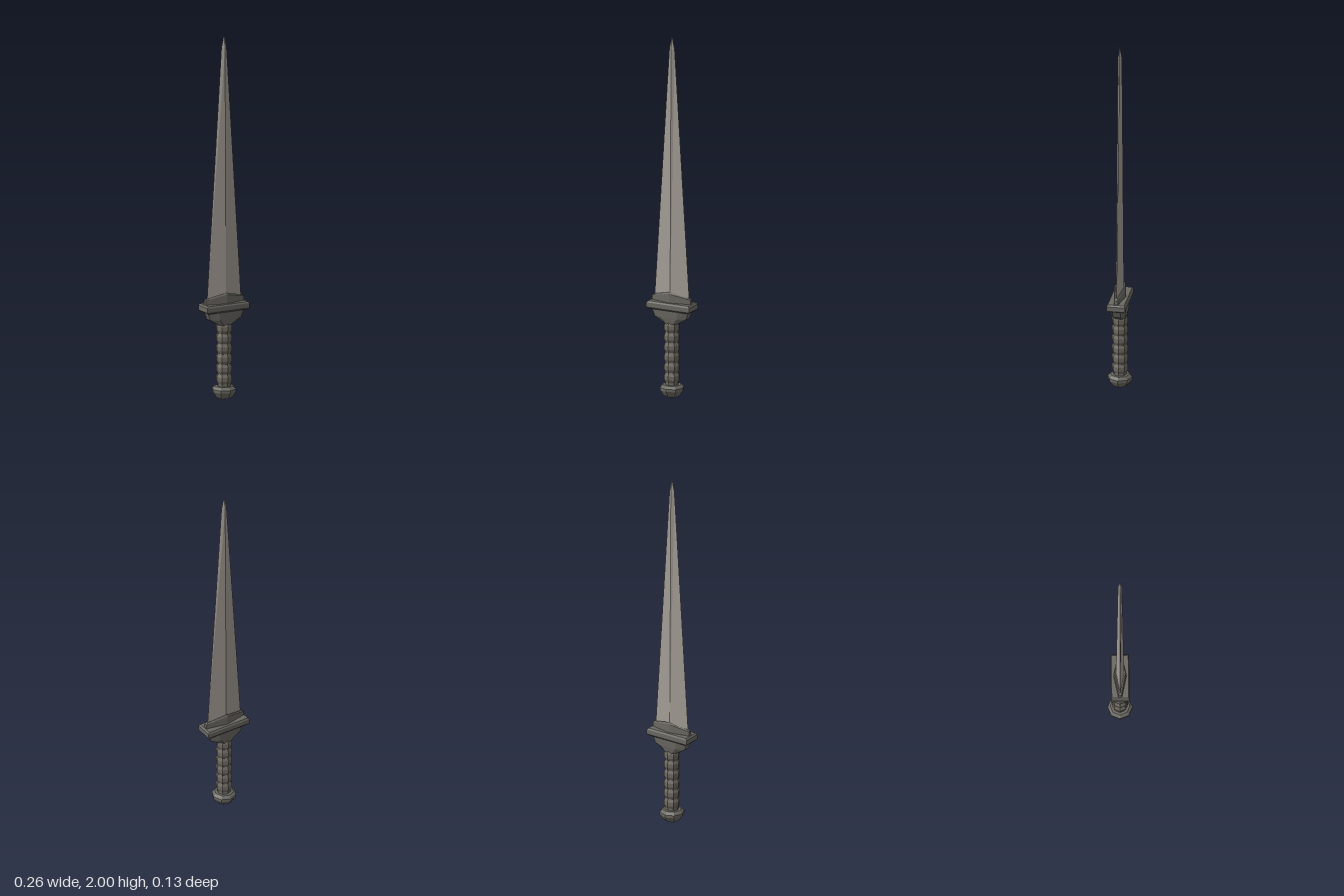
import * as THREE from 'three';

// Low-poly solid through stacked cross-sections, bottom to top, each counterclockwise from above
function loft(rings) {
  const pos = [];
  const tri = (...pts) => pts.forEach((p) => pos.push(...p));
  const n = rings[0].length;
  const centre = (ring) => [0, 1, 2].map((k) => ring.reduce((s, p) => s + p[k], 0) / n);
  const low = rings[0], high = rings[rings.length - 1];
  const lowMid = centre(low), highMid = centre(high);
  for (let i = 0; i < n; i++) {
    const j = (i + 1) % n;
    for (let r = 0; r < rings.length - 1; r++) {
      const a = rings[r], b = rings[r + 1];
      tri(a[i], a[j], b[j]);
      tri(a[i], b[j], b[i]);
    }
    tri(lowMid, low[j], low[i]);
    tri(highMid, high[i], high[j]);
  }
  const g = new THREE.BufferGeometry();
  g.setAttribute('position', new THREE.Float32BufferAttribute(pos, 3));
  g.computeVertexNormals();
  return g;
}

// Cross-sections
const octagon = (y, r) => Array.from({ length: 8 }, (_, i) => {
  const a = (i * Math.PI) / 4;
  return [r * Math.cos(a), y, -r * Math.sin(a)];
});
const diamond = (y, w, d) => [[w, y, 0], [0, y, -d], [-w, y, 0], [0, y, d]];
const rectangle = (y, w, d) => [[w, y, d], [w, y, -d], [-w, y, -d], [-w, y, d]];
const hexagon = (yEnd, yMid, w, d, end) => [
  [w, yEnd, end], [w, yEnd, -end], [0, yMid, -d],
  [-w, yEnd, -end], [-w, yEnd, end], [0, yMid, d],
];
const cutRectangle = (y, w, d) => {
  const a = w * 0.5, b = d * 0.5;
  return [[w, y, b], [w, y, -b], [a, y, -d], [-a, y, -d], [-w, y, -b], [-w, y, b], [-a, y, d], [a, y, d]];
};

export function createModel() {
  const model = new THREE.Group();
  const steel = new THREE.MeshStandardMaterial({ color: 0xa39c95 });
  const darkMetal = new THREE.MeshStandardMaterial({ color: 0x6a6862 });
  const gripWrap = new THREE.MeshStandardMaterial({ color: 0x6e6961 });
  steel.name = 'steel';
  darkMetal.name = 'dark metal';
  gripWrap.name = 'grip wrap';

  const add = (name, rings, material) => {
    const mesh = new THREE.Mesh(loft(rings), material);
    mesh.name = name;
    model.add(mesh);
  };

  // Tapering diamond-section blade with a short steep point
  add('blade', [
    diamond(0.52, 0.107, 0.022),
    diamond(1.93, 0.016, 0.011),
    diamond(2, 0.0005, 0.0005),
  ], steel);

  // Peaked collar holding the blade
  add('collar', [
    hexagon(0.52, 0.52, 0.117, 0.034, 0.01),
    hexagon(0.55, 0.575, 0.117, 0.034, 0.01),
    hexagon(0.557, 0.585, 0.108, 0.029, 0.006),
  ], darkMetal);

  // Bevelled crossguard
  add('crossguard', [
    rectangle(0.482, 0.122, 0.043),
    rectangle(0.49, 0.13, 0.05),
    rectangle(0.516, 0.13, 0.05),
    rectangle(0.525, 0.122, 0.045),
  ], darkMetal);

  // Block narrowing from the guard to the grip
  add('guardBase', [
    cutRectangle(0.405, 0.038, 0.034),
    cutRectangle(0.44, 0.095, 0.04),
    cutRectangle(0.485, 0.113, 0.043),
  ], darkMetal);

  // Ribbed grip
  const gripRings = [octagon(0.055, 0.038)];
  for (let i = 0; i < 6; i++) {
    const y = 0.08 + i * 0.056;
    gripRings.push(octagon(y, 0.037), octagon(y + 0.016, 0.044), octagon(y + 0.038, 0.044), octagon(y + 0.054, 0.037));
  }
  add('grip', gripRings, gripWrap);

  // Eight-sided pommel
  add('pommel', [
    octagon(0, 0.036),
    octagon(0.012, 0.05),
    octagon(0.038, 0.067),
    octagon(0.052, 0.067),
    octagon(0.067, 0.052),
  ], darkMetal);

  model.traverse((o) => { if (o.isMesh) o.material.flatShading = true; });
  return model;
}
